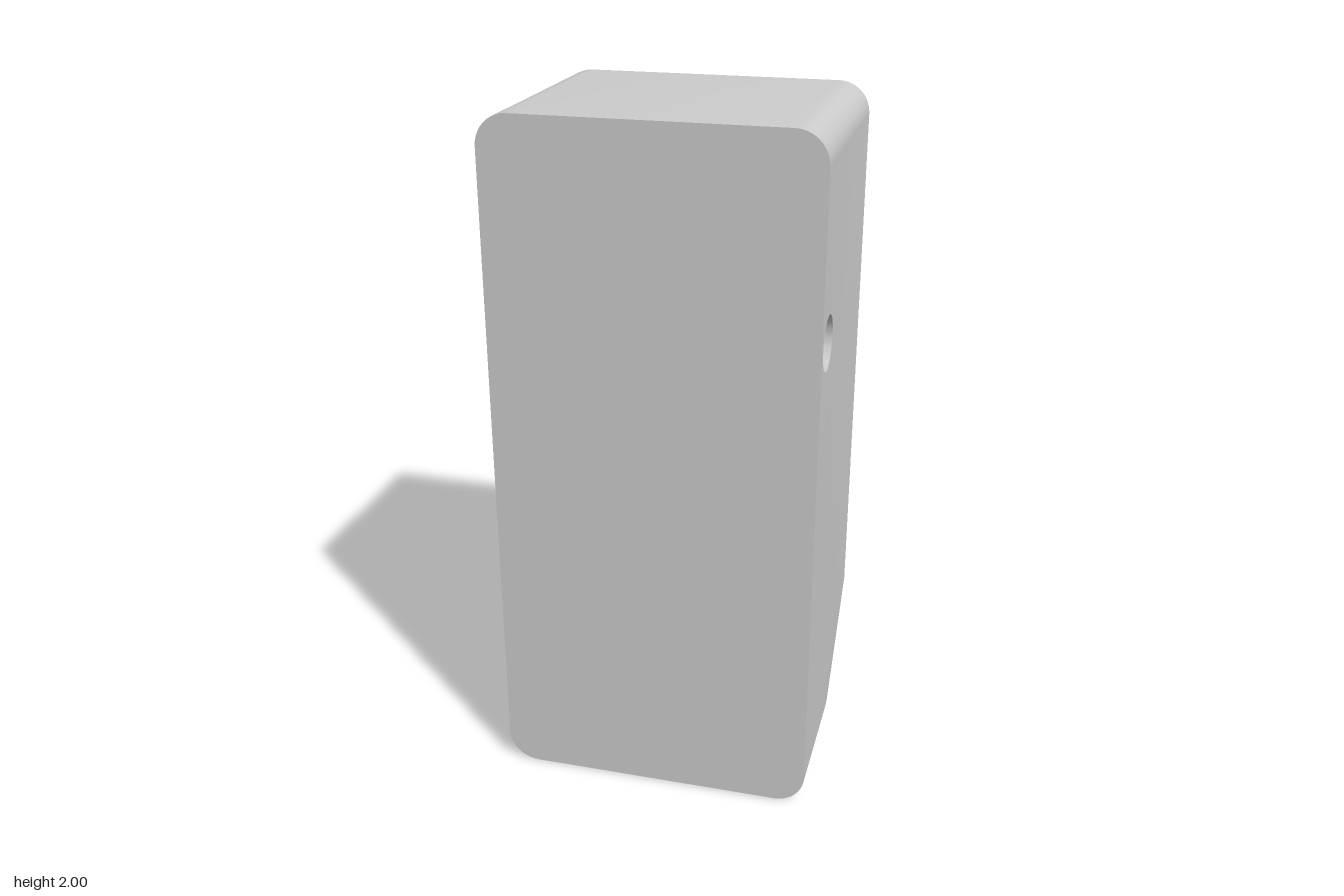
import * as THREE from 'three';
import { toCreasedNormals } from 'three/addons/utils/BufferGeometryUtils.js';

const HALF_W = 0.4625, HALF_D = 0.353, HEIGHT = 2, RADIUS = 0.09;
const CUT_Z = 0.02, CUT_Y = 0.38; // slanted cut at the lower back
const ARC = 10; // slices per rounded edge

export function createModel() {
  const group = new THREE.Group();

  // side profile, drawn with the back towards +x, pierced by the cross hole
  const profile = new THREE.Shape();
  profile.moveTo(-HALF_D, 0);
  profile.lineTo(-CUT_Z, 0);
  profile.lineTo(HALF_D, CUT_Y);
  profile.lineTo(HALF_D, HEIGHT);
  profile.lineTo(-HALF_D, HEIGHT);
  profile.closePath();
  const hole = new THREE.Path();
  hole.absarc(-0.26, 1.423, 0.077, 0, Math.PI * 2, true);
  profile.holes.push(hole);

  const slices = 2 * ARC + 1;
  const geometry = new THREE.ExtrudeGeometry(profile, {
    depth: slices, steps: slices, curveSegments: 32, bevelEnabled: false,
  });
  geometry.rotateY(Math.PI / 2);

  // space the slices around the rounded edges and pull in top and bottom
  const p = geometry.attributes.position;
  const slope = (CUT_Z + HALF_D) / CUT_Y;
  for (let i = 0; i < p.count; i++) {
    const k = Math.round(p.getX(i));
    const side = k <= ARC ? -1 : 1;
    const a = (Math.min(k, slices - k) / ARC) * (Math.PI / 2);
    const drop = RADIUS * (1 - Math.sin(a));
    const y = p.getY(i), z = p.getZ(i);
    p.setX(i, side * (HALF_W - RADIUS + RADIUS * Math.cos(a)));
    if (y > HEIGHT - 1e-4) p.setY(i, HEIGHT - drop);
    if (y < 1e-4) {
      p.setY(i, drop);
      if (z < HALF_D - 1e-3) p.setZ(i, CUT_Z - drop * slope); // stay on the cut
    }
  }

  const body = new THREE.Mesh(
    toCreasedNormals(geometry, 0.5),
    new THREE.MeshStandardMaterial({ color: 0xcccccc })
  );
  body.name = 'body';
  group.add(body);
  return group;
}
